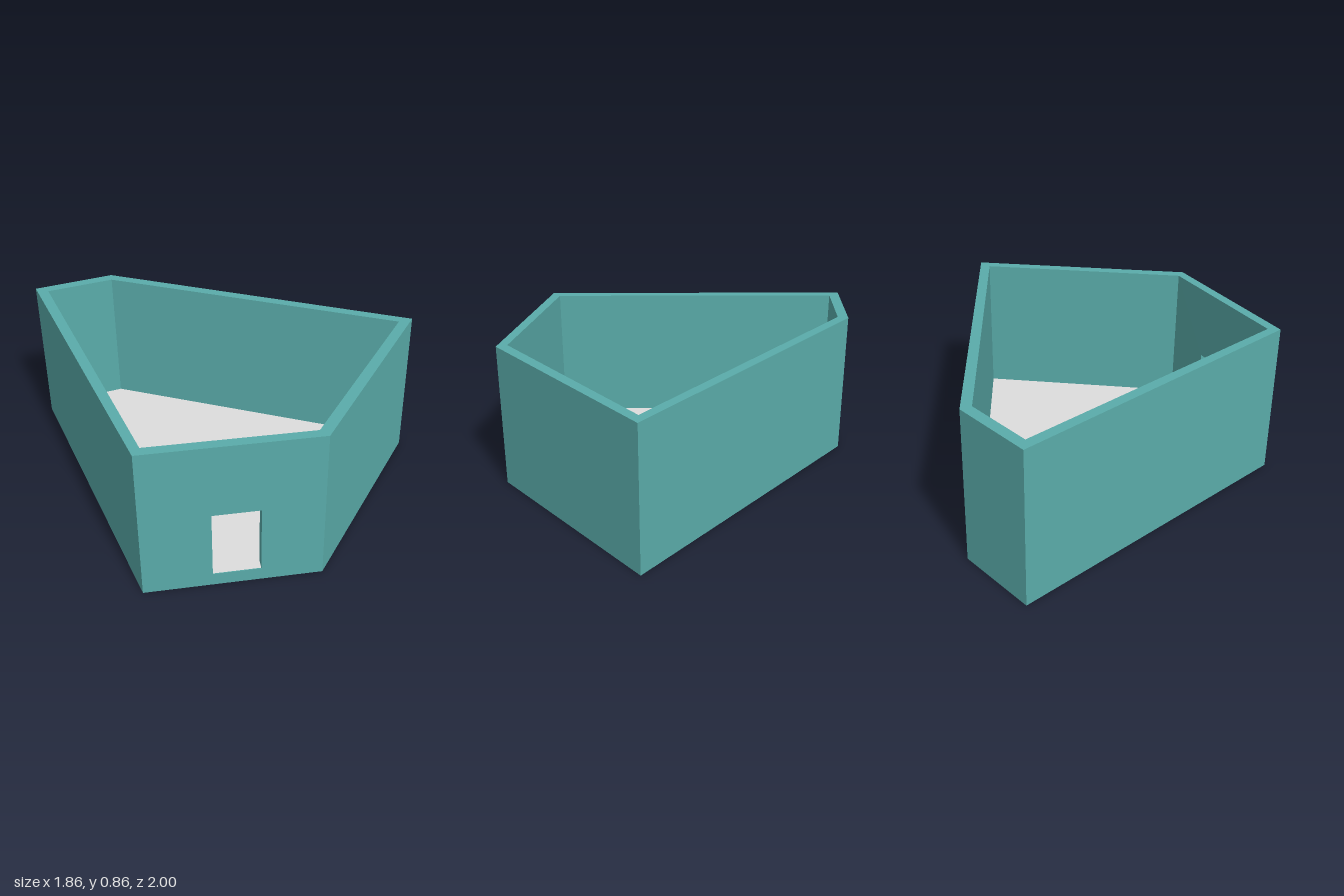
import * as THREE from 'three';

const HEIGHT = 0.855, FLOOR_Y = 0.075, THICK = 0.055;

// Plan corners as [x, z], running left to right as seen from outside
const outer = [[-0.9, 0.79], [-0.005, 1], [0.925, 0.18], [-0.47, -1], [-0.93, -1]];
const inner = [[-0.85, 0.745], [-0.028, 0.94], [0.84, 0.18], [-0.485, -0.94], [-0.87, -0.94]];
const wallNames = ['frontWall', 'frontLeftWall', 'backLeftWall', 'backWall', 'rightWall'];

// Doorway in the front wall: fractions along the wall, and its top
const door = { u0: (-0.555 + 0.9) / 0.895, u1: (-0.315 + 0.9) / 0.895, top: 0.45 };

const mix = (a, b, t) => [a[0] + (b[0] - a[0]) * t, a[1] + (b[1] - a[1]) * t];

// Point on wall i at fraction u; depth 1 is the outer face, 0 the inner (mitred ends)
function wallPoint(i, u, depth) {
  const j = (i + 1) % outer.length;
  const p = mix(outer[i], outer[j], u);
  if (depth > 0.5) return p;
  if (u < 0.001) return inner[i];
  if (u > 0.999) return inner[j];
  const dx = outer[j][0] - outer[i][0], dz = outer[j][1] - outer[i][1];
  const k = THICK / Math.hypot(dx, dz);
  return [p[0] + dz * k, p[1] - dx * k];
}

function rectangle(target, x0, y0, x1, y1) {
  return target.moveTo(x0, y0).lineTo(x1, y0).lineTo(x1, y1).lineTo(x0, y1).closePath();
}

function wallGeometry(i) {
  const shape = rectangle(new THREE.Shape(), 0, 0, 1, HEIGHT);
  if (i === 0) shape.holes.push(rectangle(new THREE.Path(), door.u0, FLOOR_Y - 0.004, door.u1, door.top));
  const geo = new THREE.ExtrudeGeometry(shape, { depth: 1, bevelEnabled: false });
  const pos = geo.attributes.position;
  for (let v = 0; v < pos.count; v++) {
    const [x, z] = wallPoint(i, pos.getX(v), pos.getZ(v));
    pos.setXYZ(v, x, pos.getY(v), z);
  }
  geo.computeVertexNormals();
  return geo;
}

// Flat polygon at a given height, facing up or down
function plate(points, y, up) {
  const s = up ? -1 : 1;
  const shape = new THREE.Shape(points.map(([x, z]) => new THREE.Vector2(x, s * z)));
  return new THREE.ShapeGeometry(shape).rotateX(s * Math.PI / 2).translate(0, y, 0);
}

export function createModel() {
  const group = new THREE.Group();
  group.name = 'walledEnclosure';
  const teal = new THREE.MeshStandardMaterial({ color: 0x5aacaa });
  teal.name = 'teal';
  const grey = new THREE.MeshStandardMaterial({ color: 0xdddddd });
  grey.name = 'lightGrey';

  const add = (name, geometry, material) => {
    const mesh = new THREE.Mesh(geometry, material);
    mesh.name = name;
    group.add(mesh);
  };

  wallNames.forEach((name, i) => add(name, wallGeometry(i), teal));

  // Floor, with its threshold running through the doorway
  const threshold = [[door.u0, 0], [door.u0, 1], [door.u1, 1], [door.u1, 0]]
    .map(([u, d]) => wallPoint(0, u, d));
  add('floor', plate([inner[0], ...threshold, ...inner.slice(1)], FLOOR_Y, true), grey);

  // Underside
  add('underside', plate(inner, 0, false), teal);
  return group;
}
